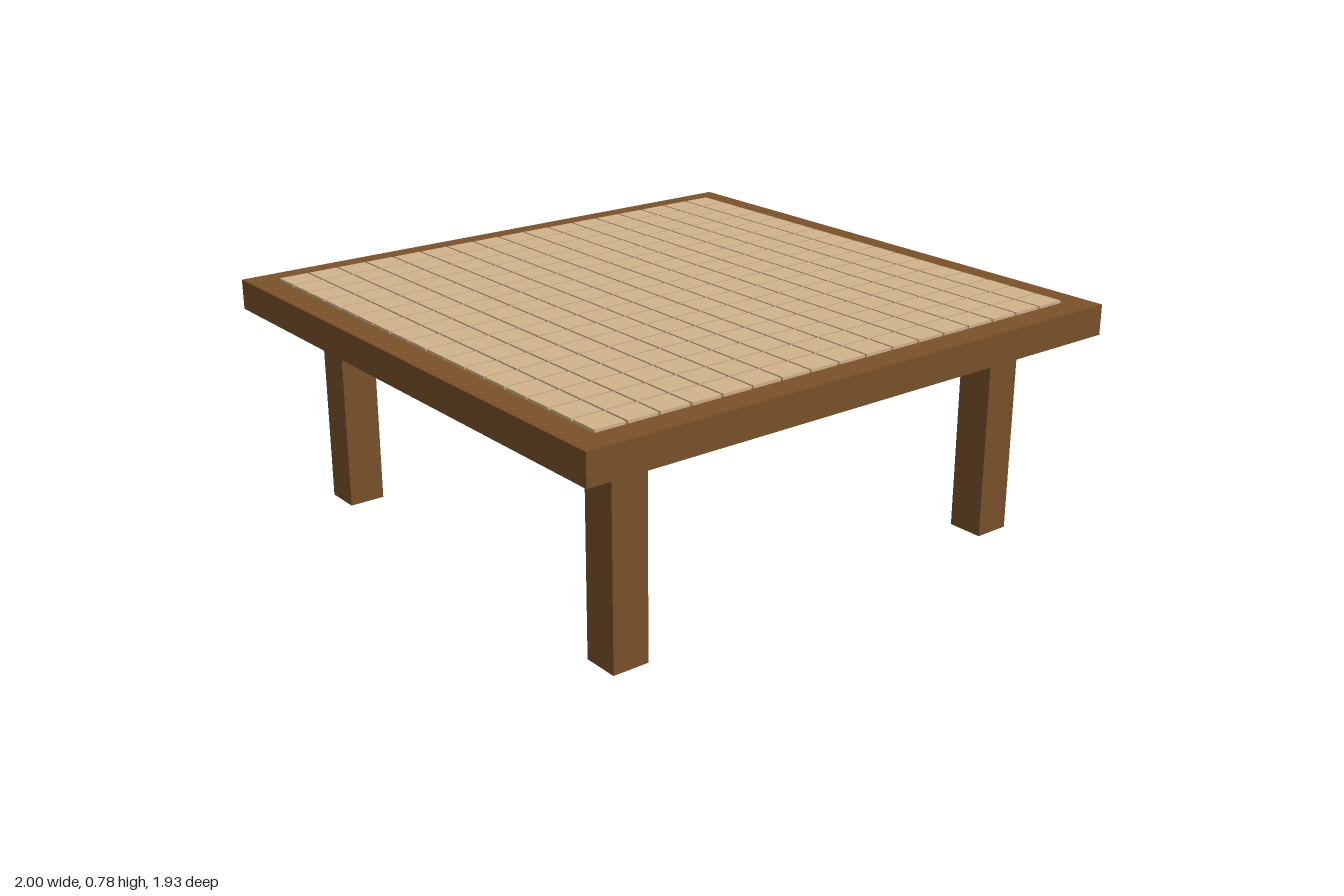
import * as THREE from 'three';

const WOOD = new THREE.MeshStandardMaterial({ color: 0x7a522a });
const TILE = new THREE.MeshStandardMaterial({ color: 0xd2b48c });

// Box given by its size, its centre in x and z, and its bottom height
function box(name, material, w, h, d, x, bottom, z) {
  const mesh = new THREE.Mesh(new THREE.BoxGeometry(w, h, d), material);
  mesh.name = name;
  mesh.position.set(x, bottom + h / 2, z);
  return mesh;
}

export function createModel() {
  const table = new THREE.Group();
  table.name = 'table';

  // Tabletop slab
  const legHeight = 0.667, topHeight = 0.767;
  table.add(box('tabletop', WOOD, 2, topHeight - legHeight, 1.93, 0, legHeight, 0));

  // Four square legs
  for (const [side, sx] of [['Left', 1], ['Right', -1]]) {
    for (const [end, sz] of [['front', 1], ['back', -1]]) {
      table.add(box(`${end}${side}Leg`, WOOD, 0.122, legHeight, 0.122, sx * 0.742, 0, sz * 0.742));
    }
  }

  // Square grid of slightly raised tiles with narrow gaps
  const tiles = new THREE.Group();
  tiles.name = 'tiles';
  const count = 17, gap = 0.007, raise = 0.009, sunk = 0.01;
  const pitchX = 0.1072, pitchZ = 0.1033;
  for (let row = 0; row < count; row++) {
    for (let col = 0; col < count; col++) {
      const x = (col - (count - 1) / 2) * pitchX;
      const z = (row - (count - 1) / 2) * pitchZ;
      tiles.add(box('tile', TILE, pitchX - gap, raise + sunk, pitchZ - gap, x, topHeight - sunk, z));
    }
  }
  table.add(tiles);

  return table;
}
